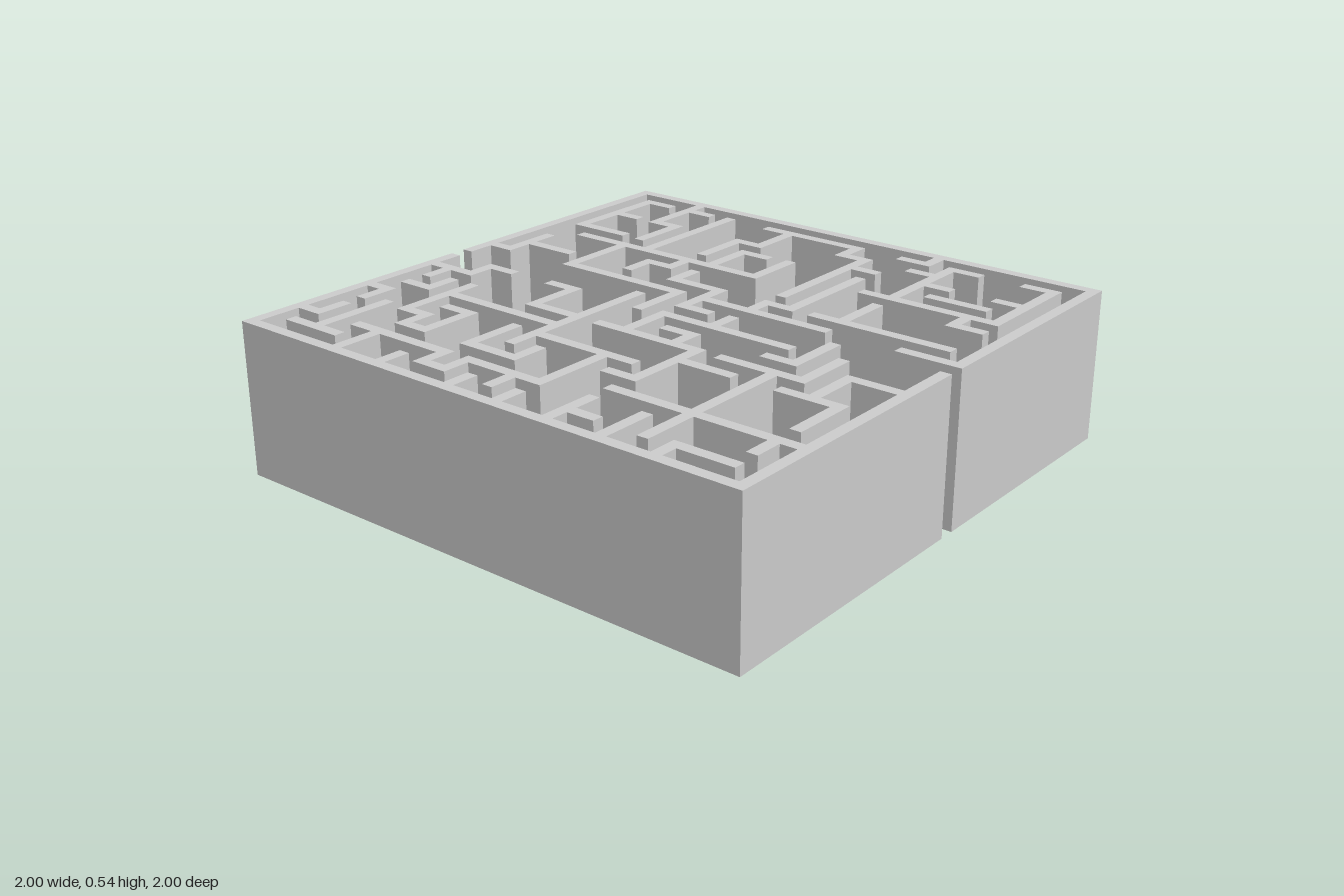
import * as THREE from 'three';

const CELLS = 20, THICK = 0.04, HEIGHT = 0.54;
const STEP = (2 - THICK) / CELLS;

// Walls along x: one entry per grid line from back to front, each "from-to" in cells
const rows = [
  '0-9 10-20',
  '2-3 4-5 7-8 11-13 15-19',
  '1-4 6-7 8-9',
  '4-7 17-20',
  '0-2 3-4 11-14 15-17',
  '3-5 14-19',
  '0-1 7-9 12-13',
  '1-2 3-5 13-14 15-17',
  '1-2 4-10 12-13 14-16 17-19',
  '0-1 3-4 9-11',
  '1-2 7-9 10-12 14-16',
  '0-1 2-5 18-19',
  '7-8 9-10 11-12 13-18',
  '0-2 4-7 12-16',
  '19-20',
  '0-2 12-14 15-19',
  '1-7 8-10',
  '0-1 7-9',
  '6-8 14-15',
  '2-3 4-6 15-19',
  '0-10 11-20',
];

// Walls along z: one entry per grid line from -x to +x
const columns = [
  '0-20',
  '1-3 7-8 13-14 17-19',
  '0-1 3-7 8-11',
  '4-5 7-9 13-20',
  '3-4 12-13',
  '0-1 4-5 8-12',
  '1-2 3-8 13-15 17-19',
  '6-8 9-13 14-17',
  '0-2 11-12 15-16 18-20',
  '2-3 5-6 10-15',
  '10-11',
  '0-1 4-9 10-15 18-20',
  '1-3 8-10 12-13 14-19',
  '6-7',
  '2-10 18-19',
  '1-3 14-19',
  '8-9 16-18',
  '1-2 3-4 7-8 12-13 15-16 18-19',
  '11-12 14-15',
  '1-2 3-4 7-11 13-14 15-16 18-19',
  '0-20',
];

export function createModel() {
  const maze = new THREE.Group();
  maze.name = 'maze';
  const material = new THREE.MeshStandardMaterial({ color: 0xcccccc });
  const at = (i) => (i - CELLS / 2) * STEP;

  // Each wall reaches half a thickness past its end points, so corners close
  function addWalls(lines, alongX) {
    lines.forEach((line, i) => {
      for (const span of line.split(' ')) {
        const [from, to] = span.split('-').map(Number);
        const length = (to - from) * STEP + THICK;
        const middle = at((from + to) / 2);
        const wall = new THREE.Mesh(
          new THREE.BoxGeometry(alongX ? length : THICK, HEIGHT, alongX ? THICK : length),
          material
        );
        wall.position.set(alongX ? middle : at(i), HEIGHT / 2, alongX ? at(i) : middle);
        wall.name = i === 0 || i === CELLS ? 'outerWall' : 'innerWall';
        maze.add(wall);
      }
    });
  }

  addWalls(rows, true);
  addWalls(columns, false);
  return maze;
}
